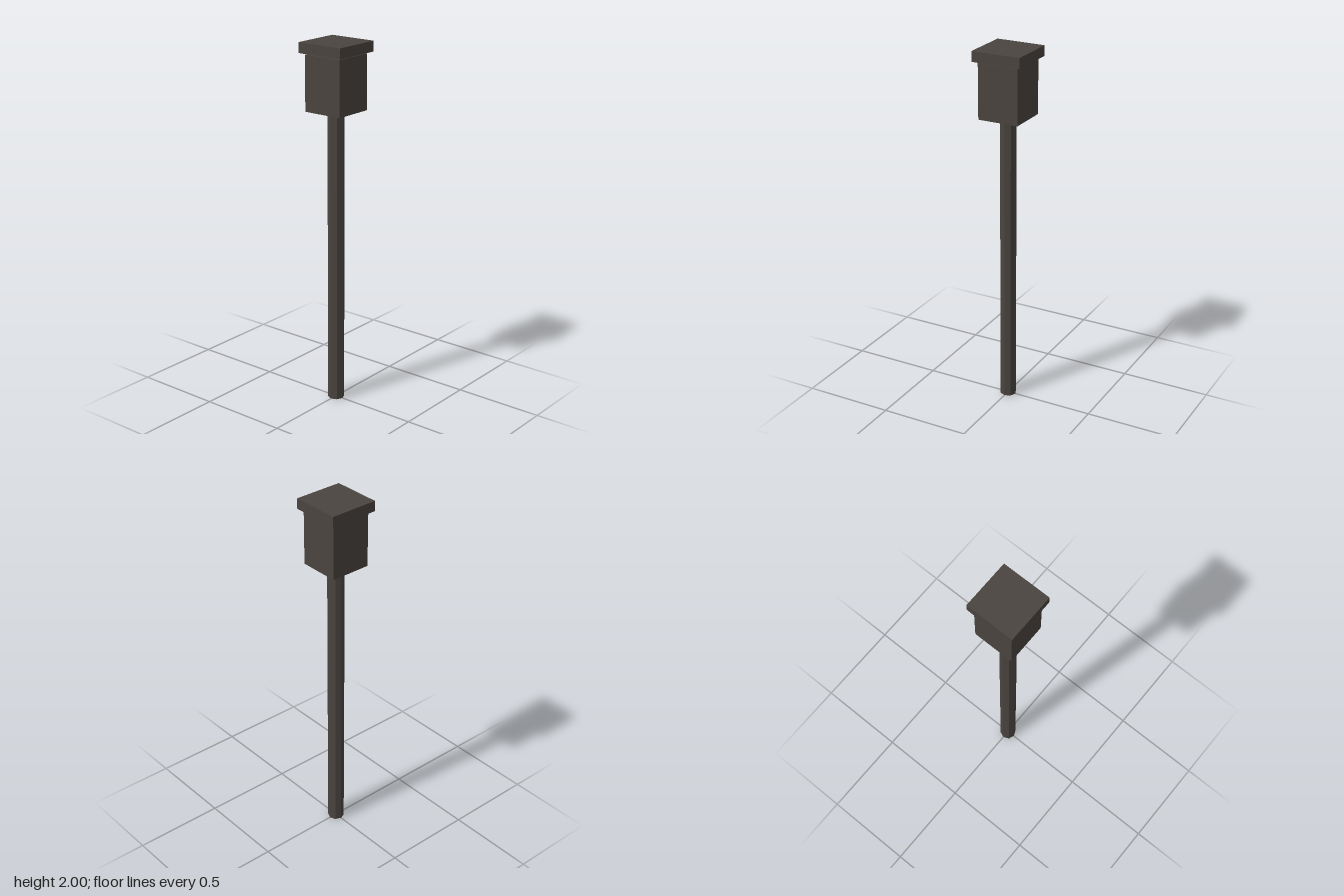
import * as THREE from 'three';

export function createModel() {
  const model = new THREE.Group();
  model.name = 'lampPost';

  const darkMetal = new THREE.MeshStandardMaterial({ color: 0x4a443f, flatShading: true });
  darkMetal.name = 'dark metal';

  // Adds a part standing between two heights
  const addPart = (name, geometry, bottom, top) => {
    const mesh = new THREE.Mesh(geometry, darkMetal);
    mesh.name = name;
    mesh.position.y = (bottom + top) / 2;
    model.add(mesh);
  };

  // Eight-sided pole
  addPart('pole', new THREE.CylinderGeometry(0.045, 0.045, 1.636, 8), 0, 1.636);

  // Square lantern housing
  addPart('lanternHousing', new THREE.BoxGeometry(0.227, 0.299, 0.227), 1.636, 1.935);

  // Wider cap, floating just above the housing
  addPart('cap', new THREE.BoxGeometry(0.273, 0.056, 0.273), 1.944, 2);

  return model;
}
